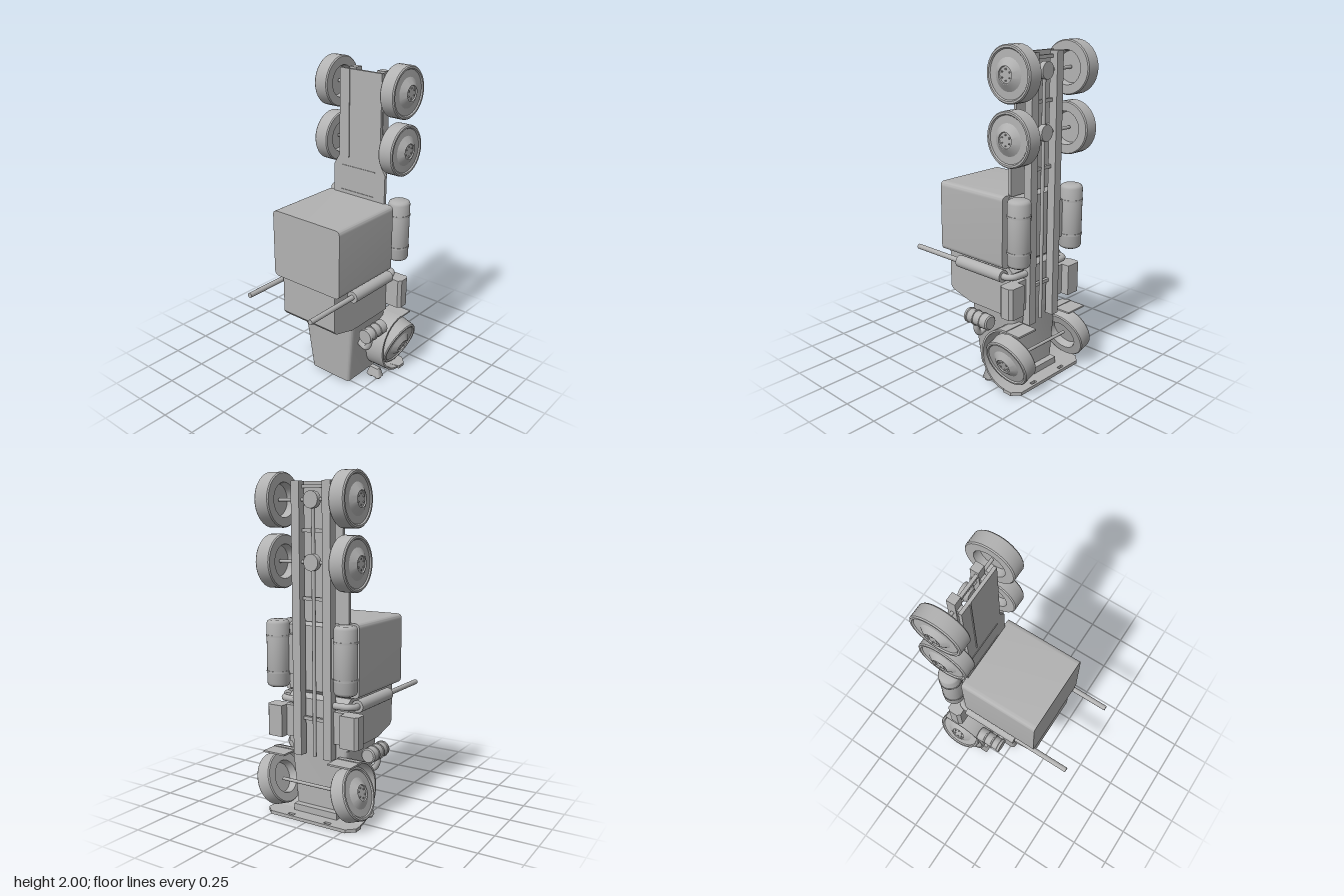
import * as THREE from 'three';
import { toCreasedNormals } from 'three/addons/utils/BufferGeometryUtils.js';
import { RoundedBoxGeometry } from 'three/addons/geometries/RoundedBoxGeometry.js';

const grey = new THREE.MeshStandardMaterial({ color: 0xb2b2b2, side: THREE.DoubleSide });
grey.name = 'plain grey';

// A truck tipped onto its nose: its front points to -y, its roof to +z.
export function createModel() {
  const model = new THREE.Group();
  const truck = new THREE.Group();
  truck.name = 'truck';
  truck.position.x = -0.012;
  model.add(truck);

  const add = (name, geo, x = 0, y = 0, z = 0, parent = truck) => {
    const m = new THREE.Mesh(geo, grey);
    m.name = name;
    m.position.set(x, y, z);
    parent.add(m);
    return m;
  };
  const box = (name, x0, x1, y0, y1, z0, z1) =>
    add(name, new THREE.BoxGeometry(x1 - x0, y1 - y0, z1 - z0), (x0 + x1) / 2, (y0 + y1) / 2, (z0 + z1) / 2);
  const cyl = (r0, r1, h, axis = 'y', n = 24) => {
    const g = new THREE.CylinderGeometry(r1, r0, h, n);
    if (axis === 'x') g.rotateZ(-Math.PI / 2);
    if (axis === 'z') g.rotateX(Math.PI / 2);
    return g;
  };
  const poly = pts => new THREE.Shape(pts.map(p => new THREE.Vector2(...p)));
  const extrude = (shape, depth) => new THREE.ExtrudeGeometry(shape, { depth, bevelEnabled: false, curveSegments: 8 });
  // profile in (z, y), extruded across x and centred
  const acrossX = (shape, w) => extrude(shape, w).translate(0, 0, -w / 2).rotateY(-Math.PI / 2);
  // profile in (x, -z), extruded up y
  const alongY = (shape, h) => extrude(shape, h).rotateX(-Math.PI / 2);
  const roundRect = (x0, x1, y0, y1, r) => {
    const s = new THREE.Shape();
    s.moveTo(x0 + r, y0).lineTo(x1 - r, y0).quadraticCurveTo(x1, y0, x1, y0 + r)
      .lineTo(x1, y1 - r).quadraticCurveTo(x1, y1, x1 - r, y1)
      .lineTo(x0 + r, y1).quadraticCurveTo(x0, y1, x0, y1 - r)
      .lineTo(x0, y0 + r).quadraticCurveTo(x0, y0, x0 + r, y0);
    return s;
  };

  // sleeper box with rounded upright edges, and its floor
  add('sleeper', toCreasedNormals(extrude(roundRect(-0.256, 0.256, 0.74, 1.17, 0.032), 0.505), 0.6), 0, 0, -0.255);
  add('sleeperFloor', acrossX(poly([[-0.25, 0.73], [-0.25, 1.16], [-0.29, 1.14], [-0.29, 0.76]]), 0.4));

  // cab with raked windscreen
  add('cab', acrossX(poly([[0.23, 0.735], [0.23, 0.495], [0.212, 0.472], [0.055, 0.43],
    [-0.29, 0.43], [-0.29, 0.71], [-0.26, 0.735]]), 0.41));

  // hood narrows and lowers towards the nose
  const hood = alongY(roundRect(-0.2, 0.2, -0.055, 0.29, 0.03), 0.425);
  const p = hood.attributes.position;
  for (let i = 0; i < p.count; i++) {
    const t = 1 - p.getY(i) / 0.425;
    p.setX(i, p.getX(i) * (1 - 0.24 * t));
    if (p.getZ(i) > -0.1) p.setZ(i, p.getZ(i) - 0.025 * t);
  }
  hood.computeVertexNormals();
  add('hood', toCreasedNormals(hood, 0.6), 0, 0.01, 0);

  // grille
  box('grilleTop', -0.125, 0.125, 0, 0.012, -0.005, 0.01);
  box('grilleBottom', -0.115, 0.115, 0, 0.012, -0.265, -0.25);
  for (const s of [-1, 1]) box('grilleSide', s * 0.12 - 0.007, s * 0.12 + 0.007, 0, 0.012, -0.265, 0.01);
  for (let i = 0; i < 10; i++) {
    const z = -0.234 + i * 0.0235;
    box('grilleSlat', -0.115, 0.115, 0.002, 0.012, z, z + 0.011);
  }

  // bumper with swept ends and two tow slots
  const bumper = poly([[-0.308, 0.315], [-0.25, 0.3], [0.25, 0.3], [0.308, 0.315],
    [0.308, 0.37], [0.26, 0.415], [-0.26, 0.415], [-0.308, 0.37]]);
  for (const s of [-1, 1]) {
    const a = s * 0.127;
    bumper.holes.push(new THREE.Path([[a - 0.022, 0.38], [a - 0.022, 0.4], [a + 0.022, 0.4], [a + 0.022, 0.38]]
      .map(q => new THREE.Vector2(...q))));
  }
  add('bumper', alongY(bumper, 0.02));
  box('bumperMount', -0.15, 0.15, 0.01, 0.06, -0.33, -0.28);

  // rear deck, wide behind the sleeper and narrow over the axles
  add('deck', extrude(poly([[-0.195, 1.16], [0.195, 1.16], [0.195, 1.35], [0.155, 1.415],
    [0.155, 1.95], [-0.155, 1.95], [-0.155, 1.415], [-0.195, 1.35]]), 0.02), 0, 0, -0.265);
  box('deckRidge', -0.085, -0.078, 1.41, 1.95, -0.25, -0.24);
  box('deckStep', -0.14, 0.12, 1.19, 1.195, -0.25, -0.241);
  box('deckStep', -0.14, 0.12, 1.35, 1.355, -0.25, -0.241);

  // drive shaft, cross members and axles
  add('driveShaft', cyl(0.011, 0.011, 1.47, 'y', 12), 0, 1.115, -0.327);
  for (const y of [0.6, 1.3, 1.68, 1.92]) box('crossMember', -0.08, 0.08, y - 0.01, y + 0.01, -0.325, -0.305);
  for (const y of [0.2, 1.505, 1.848]) add('axle', cyl(0.01, 0.01, 0.46, 'x', 12), 0, y, -0.327);
  for (const y of [1.505, 1.848]) {
    add('differential', cyl(0.048, 0.048, 0.035, 'z'), 0, y, -0.338);
    add('differentialNeck', cyl(0.048, 0.034, 0.02, 'z'), 0, y, -0.31);
  }

  // wheel: hollow behind, dished rim and raised hub in front
  const wheelGeo = toCreasedNormals(new THREE.LatheGeometry([
    [0, 0], [0.09, 0], [0.098, -0.048], [0.149, -0.048], [0.155, -0.041], [0.155, 0.041], [0.149, 0.048],
    [0.138, 0.048], [0.132, 0.04], [0.09, 0.042], [0.05, 0.068], [0.046, 0.068], [0.044, 0.06], [0, 0.06],
  ].map(q => new THREE.Vector2(...q)), 32), 0.5);
  const wheel = (name, s, x, y, steer) => {
    const pivot = new THREE.Group();
    pivot.name = name;
    pivot.position.set(s * x, y, -0.324);
    pivot.rotation.z = steer;
    truck.add(pivot);
    add('tyreAndRim', wheelGeo, 0, 0, 0, pivot).rotation.z = -s * Math.PI / 2;
    for (let i = 0; i < 6; i++) {
      const a = i * Math.PI / 3;
      add('wheelNut', cyl(0.005, 0.005, 0.008, 'x', 6), s * 0.062, 0.03 * Math.cos(a), 0.03 * Math.sin(a), pivot);
    }
  };

  // fender: half ring over the front wheel
  const fender = new THREE.Shape();
  fender.absarc(-0.325, 0.2, 0.195, -Math.PI * 0.47, Math.PI / 2, false);
  fender.absarc(-0.325, 0.2, 0.183, Math.PI / 2, -Math.PI * 0.47, true);
  const fenderGeo = toCreasedNormals(acrossX(fender, 0.15), 0.5);

  // fuel tank with rounded ends
  const tankGeo = toCreasedNormals(new THREE.LatheGeometry([
    [0, -0.195], [0.05, -0.195], [0.062, -0.188], [0.067, -0.175],
    [0.067, 0.175], [0.062, 0.188], [0.05, 0.195], [0, 0.195],
  ].map(q => new THREE.Vector2(...q)), 28), 0.7);

  // air cleaner can with raised bands, along z
  const cleanerGeo = toCreasedNormals(new THREE.LatheGeometry([
    [0, -0.09], [0.038, -0.09], [0.046, -0.083], [0.046, -0.035], [0.049, -0.033], [0.049, -0.025], [0.044, -0.023],
    [0.044, 0.02], [0.049, 0.022], [0.049, 0.03], [0.044, 0.032], [0.044, 0.07], [0.049, 0.074], [0.046, 0.09], [0, 0.09],
  ].map(q => new THREE.Vector2(...q)), 24).rotateX(Math.PI / 2), 0.5);

  const pipe = (name, pts, r) => add(name, new THREE.TubeGeometry(
    new THREE.CatmullRomCurve3(pts.map(q => new THREE.Vector3(...q))), 20, r, 12));

  for (const s of [-1, 1]) {
    box('frameRail', s * 0.103 - 0.027, s * 0.103 + 0.027, 0.38, 1.95, -0.355, -0.303);
    for (const y of [1.505, 1.848]) {
      wheel('rearWheel', s, 0.243, y, 0);
      box('axleBracket', s * 0.103 - 0.02, s * 0.103 + 0.02, y - 0.03, y + 0.03, -0.305, -0.262);
    }
    wheel('frontWheel', s, 0.258, 0.2, -0.33);
    add('fender', fenderGeo, s * 0.225, 0, 0);
    box('fenderFlap', s * 0.225 - 0.075, s * 0.225 + 0.075, 0.381, 0.391, -0.425, -0.32);

    // headlight housing and twin lamps
    const lamp = new THREE.CylinderGeometry(0.036, 0.058, 0.06, 4).rotateY(Math.PI / 4);
    lamp.scale(1.2, 1, 0.62);
    add('headlightHousing', lamp, s * 0.235, 0.042, -0.145);
    for (const x of [0.21, 0.26]) {
      const g = cyl(0.021, 0.023, 0.014);
      add('headlight', g, s * x, 0.008, -0.145);
    }

    add('fuelTank', tankGeo, s * 0.23, 0.977, -0.357);
    for (const y of [0.87, 1.08]) add('tankStrap', cyl(0.07, 0.07, 0.012, 'y', 28), s * 0.23, y, -0.357);
    box('tankBracket', s * 0.15 - 0.03, s * 0.15 + 0.03, 0.86, 1.09, -0.345, -0.31);

    // side step box with chamfered outer edges
    add('stepBox', alongY(poly([[s * 0.12, 0.28], [s * 0.295, 0.28], [s * 0.312, 0.3], [s * 0.312, 0.355],
      [s * 0.295, 0.375], [s * 0.2, 0.375], [s * 0.2, 0.325], [s * 0.12, 0.325]]), 0.19), 0, 0.475, 0);

    // exhaust: silencer, tall stack and elbow under the cab
    add('silencer', cyl(0.037, 0.037, 0.36, 'z'), s * 0.241, 0.695, -0.07);
    add('exhaustStack', cyl(0.016, 0.016, 0.39, 'z', 16), s * 0.241, 0.695, 0.29);
    pipe('exhaustElbow', [[s * 0.241, 0.695, -0.24], [s * 0.24, 0.697, -0.28],
      [s * 0.22, 0.7, -0.31], [s * 0.17, 0.7, -0.318], [s * 0.1, 0.7, -0.318]], 0.02);

    add('airCleaner', cleanerGeo, s * 0.264, 0.382, -0.08);
    pipe('airIntake', [[s * 0.262, 0.35, -0.045], [s * 0.258, 0.3, -0.045],
      [s * 0.235, 0.268, -0.045], [s * 0.205, 0.275, -0.045], [s * 0.165, 0.3, -0.045]], 0.018);
  }
  return model;
}
